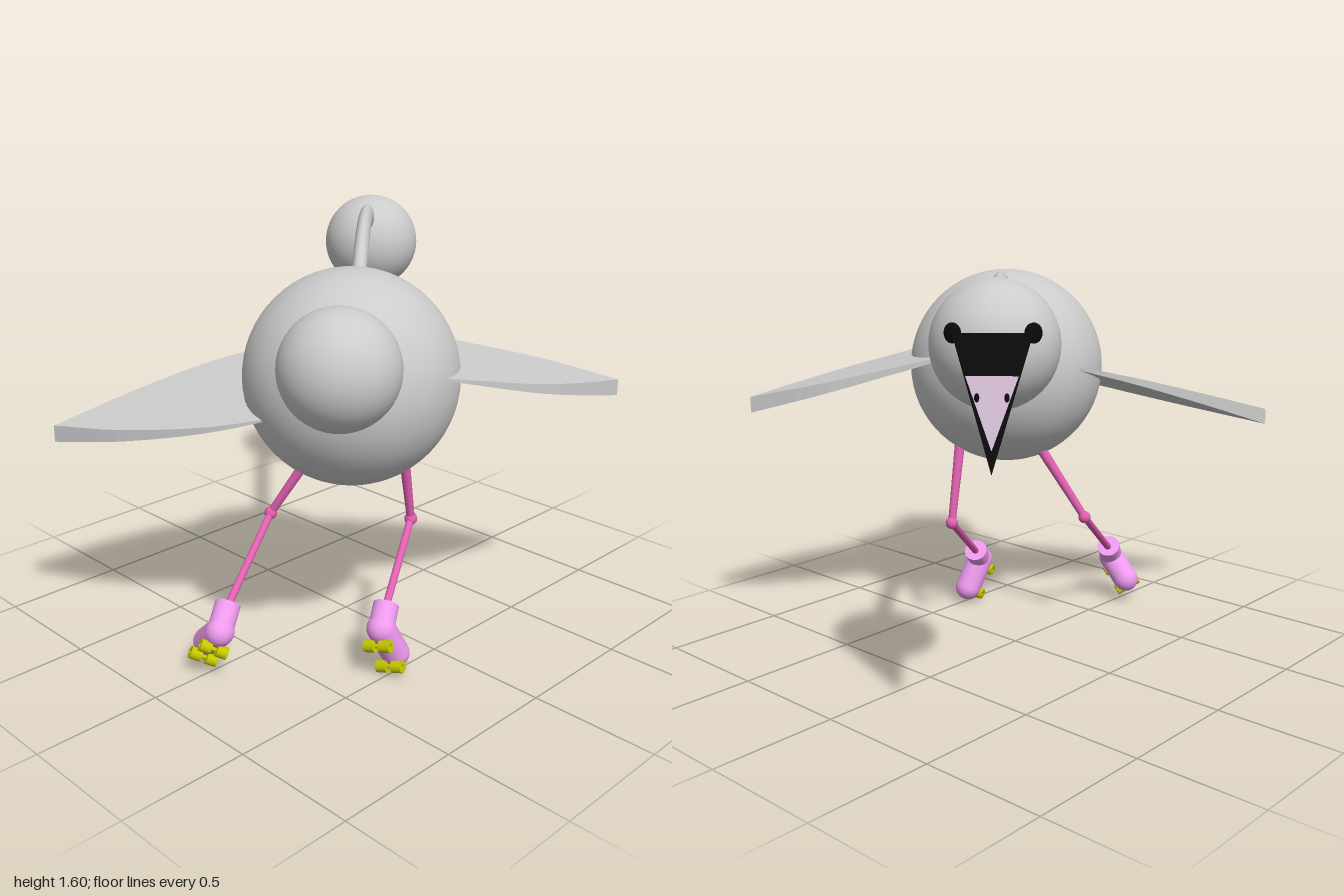
import * as THREE from 'three';

const V = (x, y, z) => new THREE.Vector3(x, y, z);
const mat = (color, extra = {}) => new THREE.MeshStandardMaterial({ color, ...extra });
const grey = mat(0xcccccc);
const greySheet = mat(0xcccccc, { side: THREE.DoubleSide });
const greyFlat = mat(0xcccccc, { side: THREE.DoubleSide, flatShading: true });
const black = mat(0x0a0a0a);
const legPink = mat(0xe060b0);
const bootPink = mat(0xee9aee);
const wheelYellow = mat(0xc4c800);
const beakPink = mat(0xd8bfd8, { side: THREE.DoubleSide });

function add(parent, name, geometry, material, pos) {
  const mesh = new THREE.Mesh(geometry, material);
  mesh.name = name;
  if (pos) mesh.position.copy(pos);
  parent.add(mesh);
  return mesh;
}

function ball(parent, name, pos, r, material = grey, seg = 48) {
  return add(parent, name, new THREE.SphereGeometry(r, seg, seg / 2), material, pos);
}

// Lay a y-axis mesh along the direction
function aim(mesh, dir) {
  mesh.quaternion.setFromUnitVectors(V(0, 1, 0), dir.clone().normalize());
  return mesh;
}

function rod(parent, name, a, b, ra, rb, material) {
  const dir = b.clone().sub(a);
  const geo = new THREE.CylinderGeometry(rb, ra, dir.length(), 24);
  return aim(add(parent, name, geo, material, a.clone().lerp(b, 0.5)), dir);
}

// Skin a list of equal-sized closed rings
function loft(rings) {
  const n = rings[0].length, index = [];
  for (let i = 0; i < rings.length - 1; i++) {
    for (let j = 0; j < n; j++) {
      const a = i * n + j, b = i * n + (j + 1) % n;
      index.push(a, b, a + n, b, b + n, a + n);
    }
  }
  const geo = new THREE.BufferGeometry().setFromPoints(rings.flat());
  geo.setIndex(index);
  geo.computeVertexNormals();
  return geo;
}

// Curved neck, deeper than wide, thickening toward the head
function neck(parent) {
  const path = new THREE.CatmullRomCurve3([
    V(0.03, 1.27, -0.02), V(-0.1, 1.41, -0.174), V(-0.25, 1.525, -0.348),
    V(-0.42, 1.563, -0.544), V(-0.52, 1.535, -0.66), V(-0.57, 1.48, -0.72),
  ]);
  const side = V(0.758, 0, -0.652), rings = [];
  for (let i = 0; i <= 40; i++) {
    const t = i / 40, c = path.getPoint(t);
    const up = side.clone().cross(path.getTangent(t)).normalize();
    const deep = 0.028 + 0.04 * t, ring = [];
    for (let j = 0; j < 24; j++) {
      const a = j / 24 * Math.PI * 2;
      ring.push(c.clone().addScaledVector(side, 0.03 * Math.cos(a)).addScaledVector(up, deep * Math.sin(a)));
    }
    rings.push(ring);
  }
  add(parent, 'neck', loft(rings), greySheet);
}

// Leaf-shaped wing: flat top plane, wedge thickness growing to the tip
function wing(parent, name, lead, trail, height) {
  const curve = pts => new THREE.CatmullRomCurve3(pts.map(([x, z]) => V(x, height(x, z), z)));
  const a = curve(lead), b = curve(trail), rings = [];
  for (let i = 0; i <= 20; i++) {
    const t = i / 20, p = a.getPointAt(t), q = b.getPointAt(t);
    const drop = V(0, -0.002 - 0.063 * t, 0);
    rings.push([p, q, q.clone().add(drop), p.clone().add(drop)]);
  }
  add(parent, name, loft(rings), greyFlat);
}

// Leg with knee, boot and four wheels
function leg(parent, name, { hip, knee, cuff, heel, toe }) {
  const g = new THREE.Group();
  g.name = name;
  parent.add(g);
  rod(g, 'upperLeg', hip, knee, 0.022, 0.016, legPink);
  ball(g, 'knee', knee, 0.026, legPink, 24);
  rod(g, 'lowerLeg', knee, cuff.clone().lerp(heel, 0.2), 0.015, 0.015, legPink);
  rod(g, 'bootShaft', cuff, heel, 0.05, 0.05, bootPink);
  const along = toe.clone().sub(heel);
  const foot = new THREE.CapsuleGeometry(0.056, along.length(), 12, 28);
  aim(add(g, 'boot', foot, bootPink, heel.clone().lerp(toe, 0.5)), along);

  // Wheels sit under the sole, in pairs
  const a = along.clone().normalize(), sole = heel.clone().sub(cuff);
  sole.addScaledVector(a, -sole.dot(a)).normalize();
  const side = a.clone().cross(sole);
  const profile = [[0.009, -0.022], [0.024, -0.022], [0.024, -0.022], [0.024, 0.022],
    [0.024, 0.022], [0.009, 0.022], [0.009, 0.022], [0.009, -0.022]].map(p => new THREE.Vector2(...p));
  const wheelGeo = new THREE.LatheGeometry(profile, 24);
  for (const t of [0.2, 1.05]) {
    const c = heel.clone().lerp(toe, t).addScaledVector(sole, 0.063);
    rod(g, 'axle', c.clone().addScaledVector(side, -0.045), c.clone().addScaledVector(side, 0.045), 0.008, 0.008, wheelYellow);
    for (const s of [-1, 1]) aim(add(g, 'wheel', wheelGeo, wheelYellow, c.clone().addScaledVector(side, s * 0.033)), side);
  }
}

const polygon = pts => new THREE.Shape(pts.map(p => new THREE.Vector2(...p)));

// Head with eyes and a flat drooping beak, built facing +z then turned
function head(parent) {
  const g = new THREE.Group();
  g.name = 'head';
  g.position.set(-0.6, 1.41, -0.765);
  g.rotation.y = -2.431;
  parent.add(g);
  ball(g, 'skull', V(0, 0, 0), 0.21);
  for (const s of [-1, 1]) {
    const eye = ball(g, 'eye', V(s * 0.122, 0.055, 0.16), 0.033, black, 24);
    eye.rotation.y = s * 0.65;
    eye.scale.z = 0.5;
  }
  const beak = new THREE.Group();
  beak.name = 'beak';
  beak.position.set(0, 0.06, 0.195);
  beak.rotation.x = -0.285;
  g.add(beak);
  const blade = new THREE.ExtrudeGeometry(polygon([[-0.122, 0], [0, -0.425], [0.122, 0]]), { depth: 0.014, bevelEnabled: false });
  add(beak, 'beakBlade', blade, black, V(0, 0, -0.008));
  const panel = new THREE.ShapeGeometry(polygon([[-0.08, -0.13], [0, -0.355], [0.08, -0.13]]));
  add(beak, 'beakPanel', panel, beakPink, V(0, 0, 0.009));
  for (const s of [-1, 1]) {
    ball(beak, 'nostril', V(s * 0.045, -0.195, 0.009), 0.01, black, 12).scale.set(0.8, 1.4, 0.4);
  }
}

export function createModel() {
  const model = new THREE.Group();
  model.name = 'skatingBird';
  ball(model, 'body', V(0.235, 1.145, 0.205), 0.405, grey, 64);
  ball(model, 'tail', V(0.465, 1.28, 0.495), 0.217);
  neck(model);
  head(model);

  wing(model, 'rightWing',
    [[0.02, 0.09], [-0.17, 0.196], [-0.315, 0.344], [-0.457, 0.635], [-0.57, 0.99]],
    [[0.24, 0.52], [0.16, 0.6], [0.003, 0.725], [-0.288, 0.884], [-0.57, 0.99]],
    (x, z) => 0.945 - 0.02 * (x + 0.57) - 0.306 * (z - 0.99));
  wing(model, 'leftWing',
    [[0.1, -0.06], [0.204, -0.196], [0.347, -0.354], [0.558, -0.556], [0.81, -0.7]],
    [[0.57, 0.23], [0.627, 0.12], [0.675, 0], [0.76, -0.24], [0.8, -0.5], [0.81, -0.7]],
    (x, z) => 1.06 - 0.166 * (x - 0.81) + 0.138 * (z + 0.7));

  leg(model, 'rightLeg', {
    hip: V(0.06, 0.85, 0.19), knee: V(-0.117, 0.517, 0.31),
    cuff: V(0.012, 0.282, 0.65), heel: V(0.05, 0.205, 0.725), toe: V(-0.045, 0.122, 0.71),
  });
  leg(model, 'leftLeg', {
    hip: V(0.315, 0.86, 0.005), knee: V(0.29, 0.497, -0.08),
    cuff: V(0.435, 0.275, 0.215), heel: V(0.47, 0.21, 0.28), toe: V(0.485, 0.086, 0.215),
  });
  return model;
}
